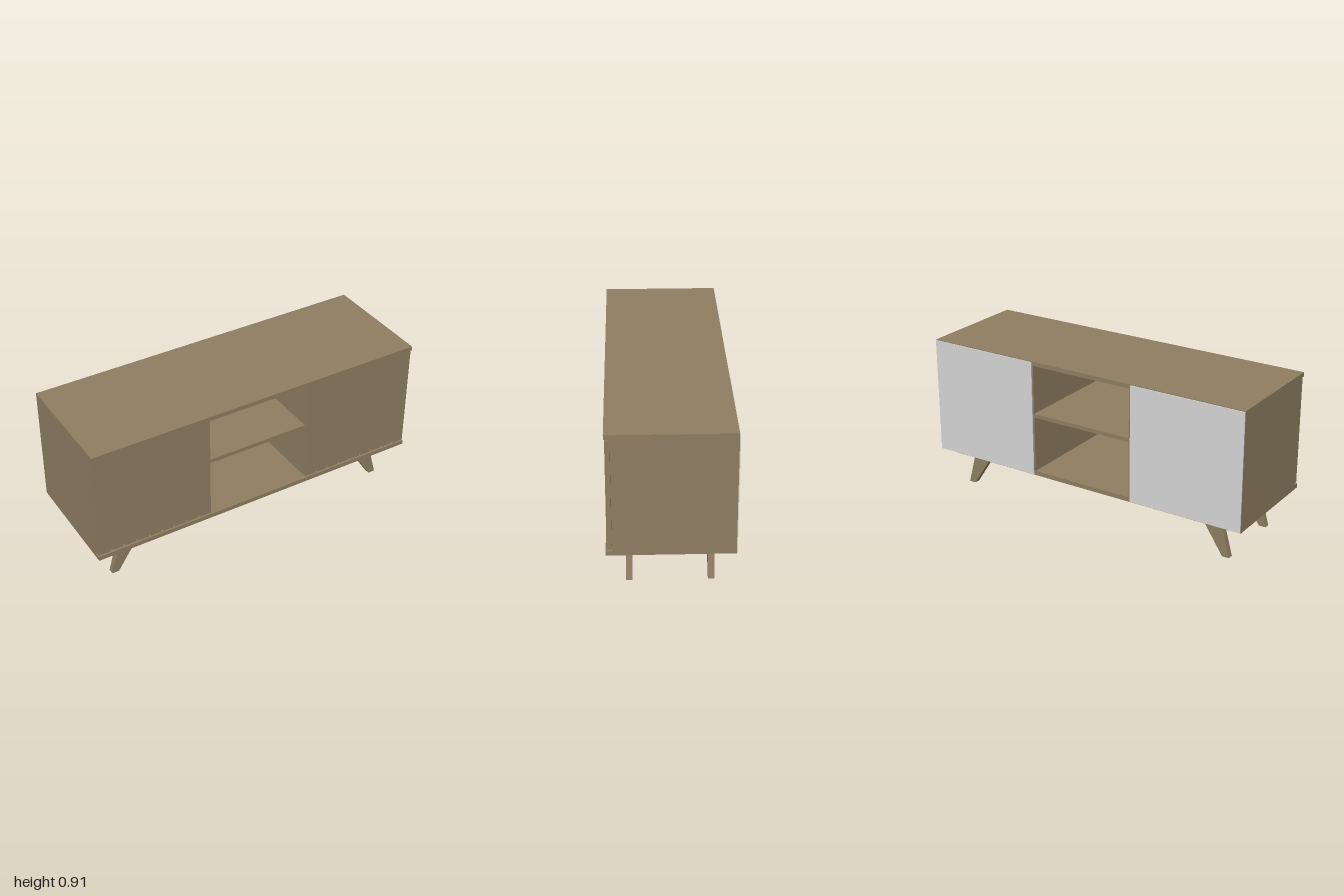
import * as THREE from 'three';

export function createModel() {
  const group = new THREE.Group();
  group.name = 'sideboard';
  const wood = new THREE.MeshStandardMaterial({ color: 0x8d7d61 });
  wood.name = 'walnut wood';
  const backing = new THREE.MeshStandardMaterial({ color: 0xd4d4d4 });
  backing.name = 'grey backing';

  const add = (name, geometry, material = wood) => {
    const mesh = new THREE.Mesh(geometry, material);
    mesh.name = name;
    group.add(mesh);
    return mesh;
  };
  // Box given by its limits on each axis
  const box = (name, [x0, x1], [y0, y1], [z0, z1], material) => {
    const mesh = add(name, new THREE.BoxGeometry(x1 - x0, y1 - y0, z1 - z0), material);
    mesh.position.set((x0 + x1) / 2, (y0 + y1) / 2, (z0 + z1) / 2);
  };
  const mirrored = (s, a, b) => (s > 0 ? [a, b] : [-b, -a]);

  // Carcass: top, bottom, plinth and open shelf
  box('top', [-1, 1], [0.883, 0.908], [-0.33, 0.335]);
  box('bottom', [-1, 1], [0.225, 0.25], [-0.33, 0.335]);
  box('plinth', [-0.915, 0.915], [0.201, 0.225], [-0.29, 0.295]);
  box('shelf', [-0.312, 0.312], [0.577, 0.6], [-0.33, 0.303]);

  // Grooved door: a comb-shaped plan extruded upwards
  const doorGeometry = (x0, x1) => {
    const back = 0.304, front = 0.33, floor = 0.317, slats = 9, half = 0.006;
    const step = (x1 - x0) / slats;
    const points = [[x0, back], [x0, front]];
    for (let i = 1; i < slats; i++) {
      const x = x0 + i * step;
      points.push([x - half, front], [x - half, floor], [x + half, floor], [x + half, front]);
    }
    points.push([x1, front], [x1, back]);
    const shape = new THREE.Shape(points.map(([x, z]) => new THREE.Vector2(x, -z)));
    return new THREE.ExtrudeGeometry(shape, { depth: 0.622, bevelEnabled: false })
      .rotateX(-Math.PI / 2)
      .translate(0, 0.257, 0);
  };

  // Tapered, slanted leg: outline in x and y, extruded in z
  const legGeometry = (outline, thickness) =>
    new THREE.ExtrudeGeometry(
      new THREE.Shape(outline.map(([x, y]) => new THREE.Vector2(x, y))),
      { depth: thickness, bevelEnabled: false }
    ).translate(0, 0, -thickness / 2);

  for (const s of [1, -1]) {
    const side = s > 0 ? 'left' : 'right';
    box(side + 'SidePanel', mirrored(s, 0.977, 1), [0.25, 0.883], [-0.33, 0.303]);
    box(side + 'Divider', mirrored(s, 0.312, 0.335), [0.25, 0.883], [-0.33, 0.303]);
    box(side + 'BackPanel', mirrored(s, 0.322, 0.999), [0.228, 0.904], [-0.335, -0.33], backing);
    add(side + 'Door', doorGeometry(...mirrored(s, 0.312, 0.996)));

    // Corner legs splay outwards
    const outline = [[0.71, 0.201], [0.83, 0.201], [0.885, 0], [0.843, 0]];
    for (const [end, z] of [['Front', 0.217], ['Back', -0.211]]) {
      const leg = add(side + end + 'Leg', legGeometry(outline.map(([x, y]) => [s * x, y]), 0.034));
      leg.position.z = z;
    }
  }

  // Centre leg leans forwards
  const centre = legGeometry([[-0.073, 0.201], [0.048, 0.201], [0.105, 0], [0.062, 0]], 0.034);
  add('centreLeg', centre.rotateY(-Math.PI / 2));

  return group;
}
